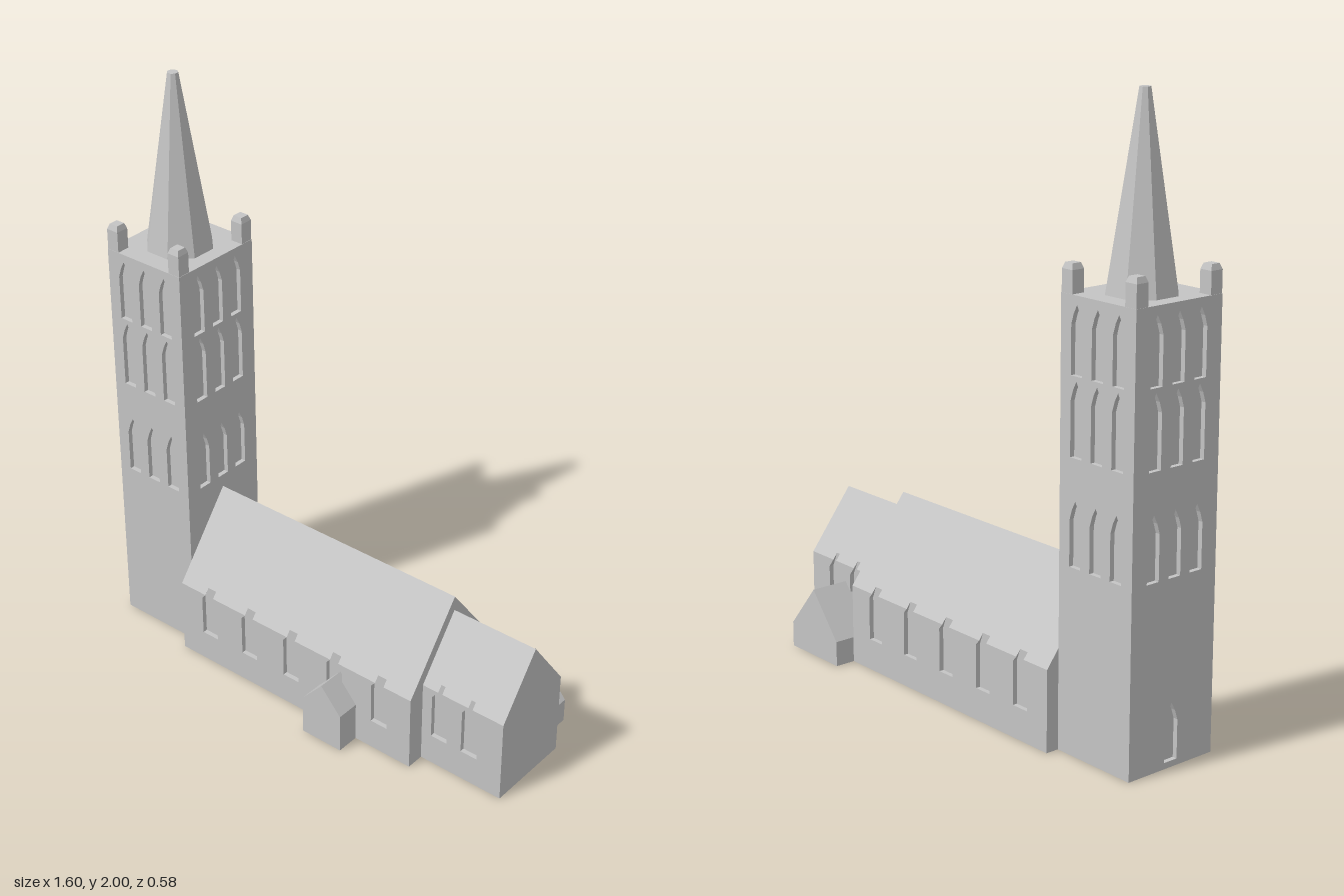
import * as THREE from 'three';

const stone = new THREE.MeshStandardMaterial({ color: 0xc4c4c4 });
stone.name = 'stone';
const D = 0.016; // depth of the window recesses

function mesh(name, geometry, parent) {
  let g = geometry.index ? geometry.toNonIndexed() : geometry;
  g.computeVertexNormals(); // flat facets
  const m = new THREE.Mesh(g, stone);
  m.name = name;
  parent.add(m);
  return m;
}

const polygon = pts => new THREE.Shape(pts.map(p => new THREE.Vector2(p[0], p[1])));
const extrude = (shape, depth) => new THREE.ExtrudeGeometry(shape, { depth, bevelEnabled: false });

// House-shaped prism running along +z from z = 0
function gable(half, eave, ridge, length) {
  return extrude(polygon([[-half, 0], [half, 0], [half, eave], [0, ridge], [-half, eave]]), length);
}

// Pointed window opening
function lancet(x, y0, shoulder, apex, half) {
  const mid = shoulder + (apex - shoulder) * 0.55;
  return polygon([[x - half, y0], [x + half, y0], [x + half, shoulder], [x + half * 0.58, mid],
    [x, apex], [x - half * 0.58, mid], [x - half, shoulder]]);
}

// Hall with a pitched roof; its windows cut up through the eaves on both sides
function hall(name, x0, x1, half, eave, ridge, windows, w, parent) {
  const group = new THREE.Group();
  group.name = name;
  parent.add(group);
  const lift = D * (ridge - eave) / half;
  const core = mesh(name + 'Core', gable(half - D, eave + lift, ridge, x1 - x0), group);
  core.rotation.y = Math.PI / 2;
  core.position.x = x0;

  for (const side of [1, -1]) {
    const xs = windows.map(x => x * side).sort((a, b) => b - a);
    const [a, b] = side > 0 ? [x0, x1] : [-x1, -x0];
    const pts = [[a, 0], [b, 0], [b, eave]];
    const open = w.half * (w.apex - eave) / (w.apex - w.shoulder);
    for (const x of xs) {
      pts.push([x + open, eave], [x + w.half, w.shoulder], [x + w.half, w.bottom],
        [x - w.half, w.bottom], [x - w.half, w.shoulder], [x - open, eave]);
    }
    pts.push([a, eave]);
    const g = extrude(polygon(pts), D);
    // Raise the inner top edge to follow the roof slope
    const p = g.attributes.position;
    for (let i = 0; i < p.count; i++) {
      if (p.getZ(i) < D / 2 && Math.abs(p.getY(i) - eave) < 1e-5) p.setY(i, eave + lift);
    }
    const wall = mesh(name + (side > 0 ? 'FrontWall' : 'BackWall'), g, group);
    wall.rotation.y = side > 0 ? 0 : Math.PI;
    wall.position.z = side * (half - D);
  }
}

// Tower with three rows of three lancets on each face
function tower(parent) {
  const group = new THREE.Group();
  group.name = 'tower';
  group.position.set(-0.645, 0, -0.01);
  parent.add(group);
  const hx = 0.155, hz = 0.17, H = 1.412;
  const core = mesh('towerCore', new THREE.BoxGeometry(2 * (hx - D), H, 2 * (hz - D)), group);
  core.position.y = H / 2;

  const rows = [[0.595, 0.74, 0.8], [0.93, 1.1, 1.16], [1.175, 1.325, 1.385]];
  ['towerFront', 'towerEast', 'towerBack', 'towerWest'].forEach((name, i) => {
    const onSide = i % 2 === 1;
    const half = onSide ? hz - D : hx;
    const reach = onSide ? hx : hz;
    const shape = polygon([[-half, 0], [half, 0], [half, H], [-half, H]]);
    for (const [y0, shoulder, apex] of rows) {
      for (const x of [-0.087, 0, 0.087]) shape.holes.push(lancet(x, y0, shoulder, apex, 0.024));
    }
    if (name === 'towerWest') shape.holes.push(lancet(0, 0.02, 0.145, 0.205, 0.026)); // doorway
    const wall = mesh(name, extrude(shape, D), group);
    const angle = i * Math.PI / 2;
    wall.rotation.y = angle;
    wall.position.set(Math.sin(angle) * (reach - D), 0, Math.cos(angle) * (reach - D));
  });

  // Corner pinnacles with chamfered tops
  const s = Math.SQRT2;
  const profile = [[0, 0], [0.0225 * s, 0], [0.0225 * s, 0.07], [0.016 * s, 0.088], [0, 0.088]]
    .map(p => new THREE.Vector2(p[0], p[1]));
  for (const sx of [-1, 1]) for (const sz of [-1, 1]) {
    const pin = mesh('pinnacle', new THREE.LatheGeometry(profile, 4), group);
    pin.rotation.y = Math.PI / 4;
    pin.position.set(sx * (hx - 0.0235), H, sz * (hz - 0.0235));
  }

  // Eight-sided spire with a blunt tip, flat sides facing the axes
  const spire = mesh('spire', new THREE.CylinderGeometry(0.018, 0.1125, 2 - H, 8), group);
  spire.rotation.y = Math.PI / 8;
  spire.position.y = (2 + H) / 2;
}

export function createModel() {
  const model = new THREE.Group();
  model.name = 'church';
  tower(model);

  const body = new THREE.Group();
  body.name = 'body';
  body.position.z = -0.0075;
  model.add(body);
  hall('nave', -0.49, 0.485, 0.2175, 0.268, 0.55, [-0.366, -0.19, -0.008, 0.175, 0.36],
    { half: 0.0325, bottom: 0.106, shoulder: 0.25, apex: 0.288 }, body);
  hall('chancel', 0.485, 0.795, 0.155, 0.294, 0.498, [0.553, 0.67],
    { half: 0.031, bottom: 0.108, shoulder: 0.265, apex: 0.304 }, body);

  // Gabled porch at the front
  const porch = mesh('porch', gable(0.0775, 0.138, 0.225, 0.1), model);
  porch.position.set(0.188, 0, 0.19);

  // Gabled vestry at the back
  const vestry = mesh('vestry', gable(0.125, 0.085, 0.235, 0.15), model);
  vestry.position.set(0.61, 0, -0.295);
  return model;
}
